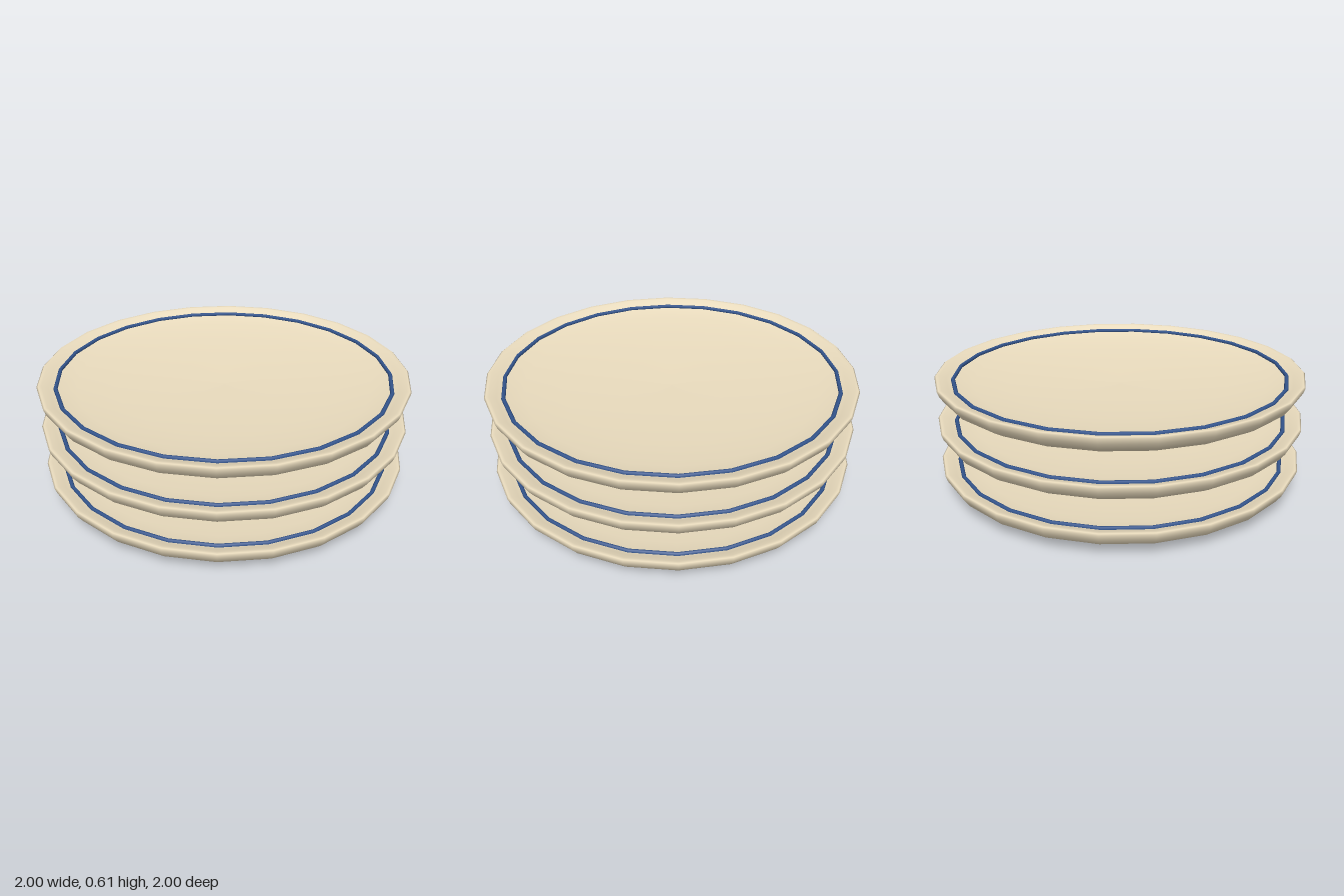
import * as THREE from 'three';

const SEGMENTS = 24;
const PITCH = 0.233;

// Closed plate section from the underside centre, round the lip, to the inner centre
const PROFILE = [
  [0, 0], [0.45, 0.005], [0.7, 0.014], [0.85, 0.024], [0.92, 0.042],
  [0.965, 0.07], [0.99, 0.105], [1, 0.134], [0.992, 0.14], [0.975, 0.139],
  [0.94, 0.124], [0.9, 0.108], [0.8, 0.09], [0.6, 0.069], [0.3, 0.053], [0, 0.047],
].map(([r, y]) => new THREE.Vector2(r, y));

export function createModel() {
  const group = new THREE.Group();
  group.name = 'plateStack';

  const cream = new THREE.MeshStandardMaterial({ color: 0xeadcbe });
  const blue = new THREE.MeshStandardMaterial({ color: 0x34568f });

  const plateGeometry = new THREE.LatheGeometry(PROFILE, SEGMENTS);
  const bandGeometry = new THREE.TorusGeometry(0.905, 0.011, 6, SEGMENTS).rotateX(Math.PI / 2);

  for (let i = 0; i < 3; i++) {
    const plate = new THREE.Group();
    plate.name = `plate${i + 1}`;
    plate.position.y = i * PITCH;

    const dish = new THREE.Mesh(plateGeometry, cream);
    dish.name = 'dish';

    // Painted band just inside the lip
    const band = new THREE.Mesh(bandGeometry, blue);
    band.name = 'rimBand';
    band.position.y = 0.115;

    plate.add(dish, band);
    group.add(plate);
  }
  return group;
}
